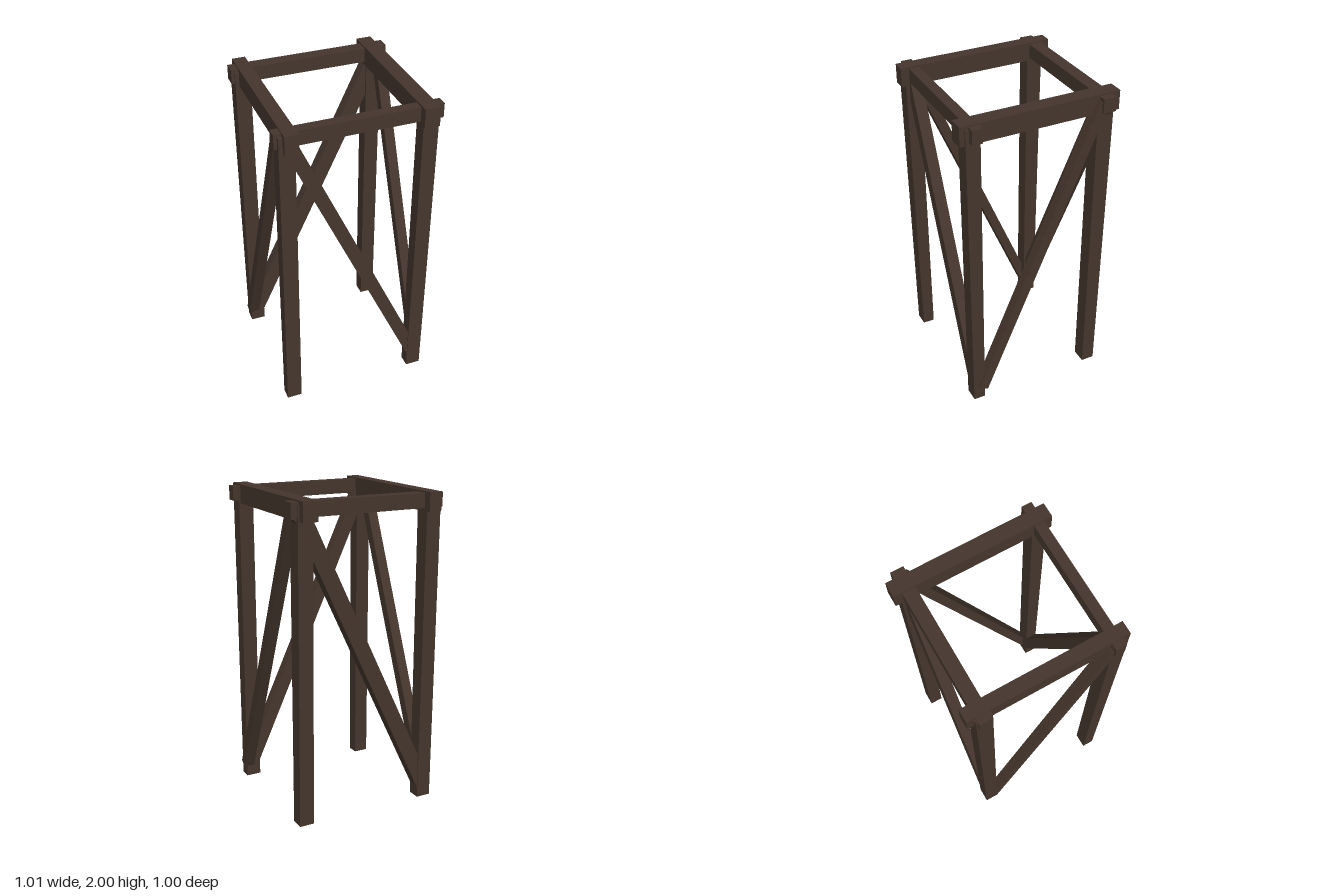
import * as THREE from 'three';

export function createModel() {
  const model = new THREE.Group();
  model.name = 'timberFrame';
  const darkTimber = new THREE.MeshStandardMaterial({ color: 0x45362d });
  darkTimber.name = 'darkTimber';

  // Box given by its lower and upper limits on each axis
  function beam(name, [x0, x1], [y0, y1], [z0, z1]) {
    const mesh = new THREE.Mesh(new THREE.BoxGeometry(x1 - x0, y1 - y0, z1 - z0), darkTimber);
    mesh.position.set((x0 + x1) / 2, (y0 + y1) / 2, (z0 + z1) / 2);
    mesh.name = name;
    model.add(mesh);
    return mesh;
  }

  // Square timber running between two points; sizeX and sizeZ are its cross-section
  function brace(name, from, to, sizeX, sizeZ) {
    const a = new THREE.Vector3(...from), b = new THREE.Vector3(...to);
    const dir = b.clone().sub(a);
    const mesh = new THREE.Mesh(new THREE.BoxGeometry(sizeX, dir.length(), sizeZ), darkTimber);
    mesh.position.copy(a).add(b).multiplyScalar(0.5);
    mesh.quaternion.setFromUnitVectors(new THREE.Vector3(0, 1, 0), dir.normalize());
    mesh.name = name;
    model.add(mesh);
  }

  // Legs, a little deeper at the top than at the foot
  const sides = [['Left', [0.37, 0.465]], ['Right', [-0.485, -0.39]]];
  const ends = [['front', [0.38, 0.456], 0.47], ['back', [-0.445, -0.36], -0.462]];
  for (const [side, xs] of sides) {
    for (const [end, zs, topZ] of ends) {
      const leg = beam(end + side + 'Leg', xs, [0, 1.975], zs);
      const pos = leg.geometry.attributes.position;
      for (let i = 0; i < pos.count; i++) {
        const z = pos.getZ(i) + leg.position.z;
        const outer = Math.abs(z) > 0.42;
        if (pos.getY(i) > 0 && outer) pos.setZ(i, topZ - leg.position.z);
      }
      leg.geometry.computeVertexNormals();
    }
  }

  // Top frame: side beams overlap the thinner cross beams
  beam('leftTopBeam', [0.36, 0.455], [1.88, 2], [-0.505, 0.5]);
  beam('rightTopBeam', [-0.46, -0.378], [1.88, 2], [-0.505, 0.5]);
  beam('frontTopBeam', [-0.505, 0.503], [1.9, 1.99], [0.383, 0.448]);
  beam('backTopBeam', [-0.505, 0.503], [1.9, 1.99], [-0.452, -0.37]);

  // One diagonal brace on each face
  brace('frontBrace', [-0.42, 1.92, 0.41], [0.425, 0.08, 0.417], 0.082, 0.072);
  brace('backBrace', [0.43, 1.91, -0.408], [-0.43, 0.1, -0.405], 0.1, 0.072);
  brace('leftBrace', [0.453, 0.09, 0.396], [0.455, 1.96, -0.39], 0.066, 0.062);
  brace('rightBrace', [-0.46, 1.94, 0.395], [-0.463, 0.07, -0.395], 0.068, 0.062);

  return model;
}
